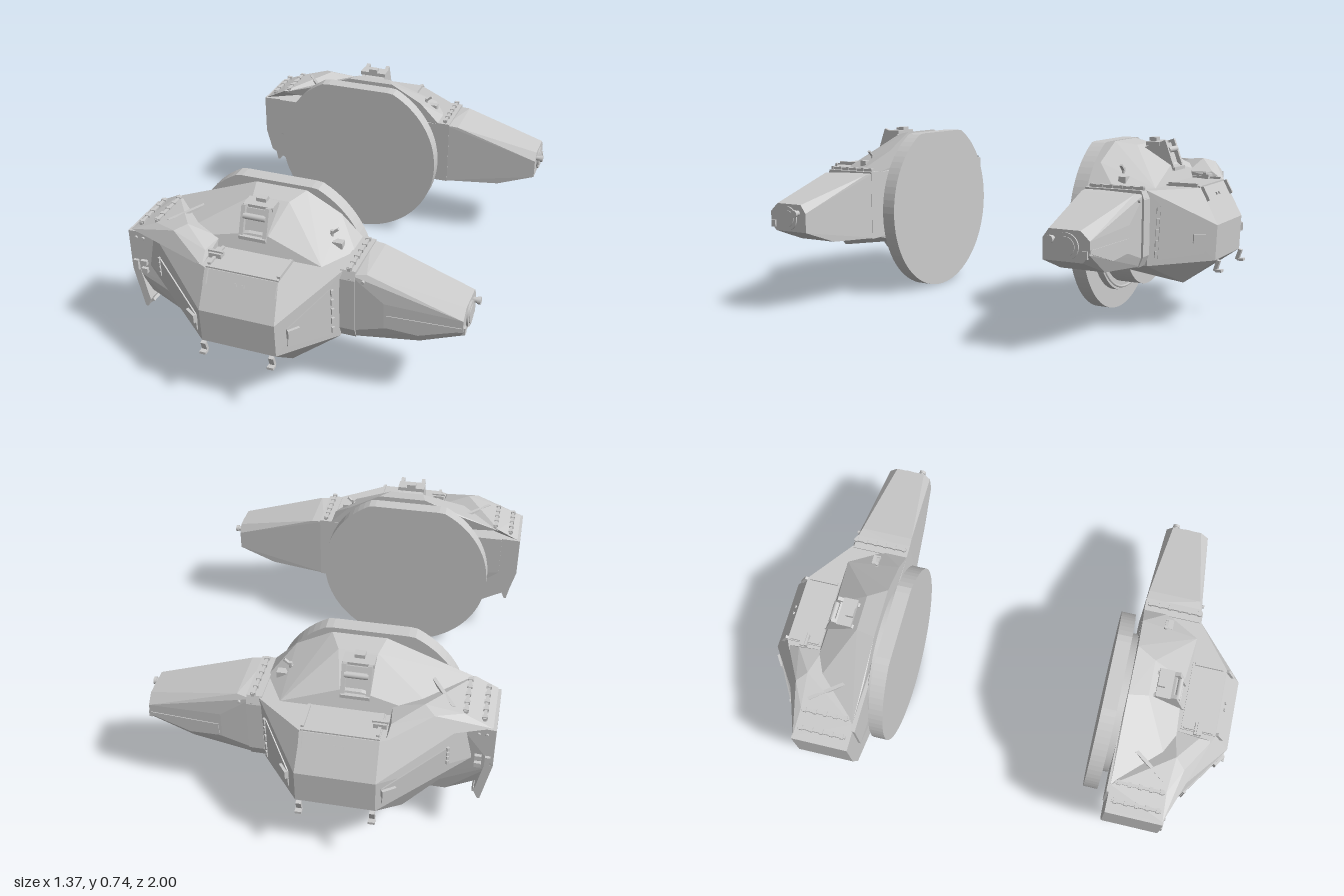
import * as THREE from 'three';
import { ConvexGeometry } from 'three/addons/geometries/ConvexGeometry.js';

const CX = -0.17, CY = 0.38; // mounting disc centre
const material = new THREE.MeshStandardMaterial({ color: 0xcccccc });
const flat = new THREE.MeshStandardMaterial({ color: 0xcccccc, flatShading: true });
const V = (p) => new THREE.Vector3(...p);

// One pod on the +z side, as a list of named meshes
function buildPod() {
  const parts = [];
  const add = (name, geometry, mat = flat) => {
    const mesh = new THREE.Mesh(geometry, mat);
    mesh.name = name;
    parts.push(mesh);
    return mesh;
  };
  const hull = (name, pts) => add(name, new ConvexGeometry(pts.map(V)));
  const box = (name, size, pos, rot = [0, 0, 0]) => {
    const m = add(name, new THREE.BoxGeometry(...size));
    m.position.set(...pos);
    m.rotation.set(...rot);
    return m;
  };
  const rod = (name, r, len, pos, axis = 'z', sides = 16) => {
    const g = new THREE.CylinderGeometry(r, r, len, sides);
    if (axis === 'z') g.rotateX(Math.PI / 2);
    if (axis === 'x') g.rotateZ(Math.PI / 2);
    add(name, g, material).position.set(...pos);
  };
  // Raised plate lying on the plane through three points, outlined in x and y
  const facePlane = (a, b, c) => {
    const plane = new THREE.Plane().setFromCoplanarPoints(V(a), V(b), V(c));
    if (plane.normal.z < 0) plane.negate();
    return plane;
  };
  const onPlane = (pl, x, y) => V([x, y, -(pl.constant + pl.normal.x * x + pl.normal.y * y) / pl.normal.z]);
  const plate = (name, pl, outline, t = 0.005) => {
    const base = outline.map(([x, y]) => onPlane(pl, x, y));
    const top = base.map((p) => p.clone().addScaledVector(pl.normal, t));
    add(name, new ConvexGeometry([...base, ...top]));
  };
  const fixture = (name, pl, x, y, size) => {
    const m = add(name, new THREE.BoxGeometry(...size));
    m.position.copy(onPlane(pl, x, y)).addScaledVector(pl.normal, size[2] / 2);
    m.quaternion.setFromUnitVectors(V([0, 0, 1]), pl.normal);
  };

  // Mounting disc, trimmed along its top, with stepped bearing
  const rim = [];
  for (let i = 0; i < 80; i++) {
    const a = (i / 80) * Math.PI * 2;
    rim.push(new THREE.Vector2(CX + 0.38 * Math.cos(a), Math.min(0.722, CY + 0.38 * Math.sin(a))));
  }
  const disc = new THREE.ExtrudeGeometry(new THREE.Shape(rim), { depth: 0.06, bevelEnabled: false });
  add('mountingDisc', disc, material).position.z = 0.43;
  rod('bearingRing', 0.3, 0.03, [CX, CY, 0.503], 'z', 64);
  rod('bearingDrum', 0.262, 0.13, [CX, CY, 0.555], 'z', 64);
  const groove = new THREE.TorusGeometry(0.285, 0.006, 6, 64);
  add('bearingLip', groove, material).position.set(CX, CY, 0.517);

  // Faceted main body
  hull('mainBody', [
    [0.2, 0.56, 0.52], [0.2, 0.56, 0.76], [0.01, 0.56, 0.905], [-0.28, 0.56, 0.905],
    [-0.57, 0.56, 0.765], [-0.6, 0.56, 0.52], [0.02, 0.42, 0.98], [-0.28, 0.42, 0.98],
    [0.02, 0.28, 0.975], [-0.28, 0.28, 0.975], [0.19, 0.265, 0.76], [0.2, 0.27, 0.52],
    [-0.6, 0.41, 0.765], [-0.6, 0.38, 0.52], [0.03, 0.18, 0.85], [-0.36, 0.18, 0.83],
    [0.05, 0.23, 0.53], [-0.4, 0.22, 0.53],
  ]);

  // Sloped roof over the bearing
  hull('roof', [
    [-0.24, 0.725, 0.52], [-0.03, 0.725, 0.52], [-0.22, 0.71, 0.6], [-0.07, 0.71, 0.6],
    [0.11, 0.65, 0.52], [0.2, 0.56, 0.52], [0.2, 0.56, 0.62], [0.12, 0.56, 0.76],
    [-0.5, 0.56, 0.76], [-0.42, 0.655, 0.52], [-0.58, 0.6, 0.53], [-0.18, 0.63, 0.735], [-0.1, 0.63, 0.735],
  ]);
  hull('rearRoof', [
    [-0.42, 0.635, 0.76], [-0.46, 0.62, 0.8], [-0.31, 0.59, 0.84], [-0.3, 0.555, 0.895],
    [-0.57, 0.555, 0.765], [-0.56, 0.605, 0.75], [-0.67, 0.56, 0.76], [-0.67, 0.56, 0.53],
    [-0.58, 0.605, 0.53], [-0.3, 0.59, 0.74], [-0.3, 0.555, 0.74],
  ]);

  // Rear block with its lower housing and hanging flap
  const rearOutline = [[-0.682, 0.555], [-0.682, 0.38], [-0.655, 0.28], [-0.51, 0.2], [-0.41, 0.2], [-0.36, 0.25], [-0.55, 0.56]];
  hull('rearBlock', rearOutline.flatMap(([x, y]) => [[x, y, 0.53], [x, y, y < 0.3 ? 0.73 : 0.765]]));
  hull('rearFlap', [0.57, 0.765].flatMap((z) => [[-0.682, 0.38, z], [-0.645, 0.205, z], [-0.635, 0.205, z], [-0.62, 0.24, z], [-0.65, 0.38, z]]));
  box('flapFoot', [0.035, 0.012, 0.16], [-0.63, 0.222, 0.67], [0, 0, 0.5]);

  // Tapered gun housing
  hull('gunCollar', [0.19, 0.25].flatMap((x) => [
    [x, 0.268, 0.52], [x, 0.268, 0.75], [x, 0.31, 0.768], [x, 0.53, 0.768], [x, 0.565, 0.755], [x, 0.565, 0.52],
  ]));
  hull('gunHousing', [
    [0.23, 0.27, 0.52], [0.23, 0.27, 0.75], [0.23, 0.3, 0.76], [0.23, 0.55, 0.76], [0.29, 0.555, 0.745], [0.23, 0.56, 0.52], [0.29, 0.555, 0.525],
    [0.36, 0.45, 0.758], [0.36, 0.34, 0.758], [0.49, 0.29, 0.54], [0.49, 0.29, 0.72],
    [0.655, 0.35, 0.55], [0.655, 0.35, 0.71], [0.655, 0.38, 0.737], [0.655, 0.43, 0.737], [0.655, 0.465, 0.7], [0.655, 0.465, 0.575], [0.655, 0.43, 0.55],
  ]);
  const gunSide = facePlane([0.36, 0.45, 0.758], [0.36, 0.34, 0.758], [0.655, 0.4, 0.737]);
  plate('gunSidePanel', gunSide, [[0.37, 0.4], [0.37, 0.345], [0.49, 0.335], [0.65, 0.385], [0.65, 0.398]], 0.003);
  rod('muzzleRing', 0.05, 0.012, [0.656, 0.405, 0.645], 'x', 32);
  rod('muzzleBore', 0.036, 0.014, [0.658, 0.405, 0.645], 'x', 32);
  rod('sightTube', 0.011, 0.03, [0.667, 0.43, 0.59], 'x');
  rod('sightCap', 0.015, 0.012, [0.678, 0.43, 0.59], 'x');
  box('muzzleLatch', [0.012, 0.03, 0.02], [0.656, 0.38, 0.72]);

  // Armour faces that carry doors
  const rightFace = facePlane([0.02, 0.42, 0.98], [0.02, 0.28, 0.975], [0.19, 0.265, 0.76]);
  const leftFace = facePlane([-0.28, 0.42, 0.98], [-0.28, 0.28, 0.975], [-0.6, 0.41, 0.765]);
  const frontFace = facePlane([0.02, 0.56, 0.905], [-0.28, 0.56, 0.905], [0, 0.42, 0.98]);
  plate('sideDoor', rightFace, [[0.05, 0.39], [0.05, 0.31], [0.165, 0.29], [0.165, 0.5]]);
  plate('rearDoor', leftFace, [[-0.51, 0.5], [-0.51, 0.42], [-0.3, 0.315], [-0.3, 0.39]]);
  fixture('sideDoorLatch', rightFace, 0.065, 0.37, [0.05, 0.035, 0.016]);
  fixture('rearDoorLatch', leftFace, -0.32, 0.37, [0.055, 0.035, 0.016]);
  for (let i = 0; i < 5; i++) {
    fixture('sideDoorHinge', rightFace, 0.17, 0.31 + i * 0.043, [0.012, 0.026, 0.009]);
    if (i < 4) fixture('rearDoorHinge', leftFace, -0.515, 0.43 + i * 0.022, [0.01, 0.016, 0.009]);
  }

  // Roof panel, front clips, bolts and feet
  box('roofPanel', [0.29, 0.008, 0.14], [-0.135, 0.562, 0.832]);
  for (const x of [-0.27, 0.005]) {
    fixture('frontClip', frontFace, x, 0.535, [0.012, 0.06, 0.012]);
    box('roofHinge', [0.012, 0.014, 0.12], [x, 0.568, 0.83]);
    box('foot', [0.02, 0.045, 0.014], [x, 0.258, 0.978], [0.3, 0, 0]);
    box('footPad', [0.026, 0.01, 0.024], [x, 0.238, 0.988]);
  }
  for (const x of [-0.15, -0.12]) fixture('frontBolt', frontFace, x, 0.525, [0.01, 0.01, 0.006]);
  for (const x of [0.23, 0.28]) rod('collarBolt', 0.007, 0.01, [x, 0.53, 0.762], 'z', 8);
  for (const x of [-0.65, -0.62]) rod('rearBolt', 0.007, 0.01, [x, 0.53, 0.767], 'z', 8);
  box('roofLatch', [0.05, 0.02, 0.03], [-0.27, 0.575, 0.83]);
  box('roofLatchBar', [0.06, 0.008, 0.012], [-0.27, 0.588, 0.83]);
  for (const y of [0.385, 0.42]) box('rearLatch', [0.026, 0.02, 0.014], [-0.625, y, 0.77]);
  box('rearClamp', [0.02, 0.045, 0.014], [-0.66, 0.405, 0.77]);

  // Periscope with hooded window
  const tilt = [-0.35, 0, 0];
  for (const s of [-1, 1]) box('periscopeCheek', [0.016, 0.115, 0.1], [-0.16 + s * 0.048, 0.66, 0.68], tilt);
  box('periscopeBlock', [0.08, 0.1, 0.08], [-0.16, 0.655, 0.675], tilt);
  box('periscopeHood', [0.12, 0.016, 0.06], [-0.16, 0.715, 0.655]);
  box('periscopeVisor', [0.04, 0.02, 0.03], [-0.16, 0.728, 0.64]);
  box('periscopeSill', [0.11, 0.014, 0.03], [-0.16, 0.615, 0.738]);
  rod('periscopeRoller', 0.012, 0.09, [-0.16, 0.69, 0.715], 'x');

  // Hinge strips on the roof and beside the gun collar
  box('diagonalStrip', [0.21, 0.01, 0.014], [-0.46, 0.622, 0.645], [0, 0.96, 0.1]);
  for (const x of [-0.635, -0.565]) {
    box('rearRail', [0.012, 0.012, 0.2], [x, x < -0.6 ? 0.582 : 0.606, 0.645]);
    for (let i = 0; i < 5; i++) box('rearRailStud', [0.02, 0.014, 0.014], [x, x < -0.6 ? 0.584 : 0.608, 0.56 + i * 0.043]);
  }
  box('collarRail', [0.012, 0.012, 0.23], [0.225, 0.57, 0.645]);
  for (let i = 0; i < 6; i++) box('collarRailStud', [0.02, 0.012, 0.012], [0.225, 0.573, 0.54 + i * 0.042]);
  box('roofCatch', [0.04, 0.025, 0.03], [0.14, 0.59, 0.635]);
  box('roofCatchLever', [0.04, 0.008, 0.012], [0.12, 0.632, 0.62], [0, 0, 0.7]);
  rod('roofCatchPost', 0.007, 0.06, [0.11, 0.605, 0.62], 'y', 8);
  return parts;
}

// Mirrored copy across z with corrected winding
function mirrorZ(mesh) {
  mesh.updateMatrix();
  let g = mesh.geometry.clone().applyMatrix4(mesh.matrix);
  if (g.index) g = g.toNonIndexed();
  for (const key of ['position', 'normal']) {
    const a = g.attributes[key];
    for (let i = 0; i < a.count; i++) a.setZ(i, -a.getZ(i));
    for (let i = 0; i < a.count; i += 3) {
      const p = [a.getX(i), a.getY(i), a.getZ(i)];
      a.setXYZ(i, a.getX(i + 1), a.getY(i + 1), a.getZ(i + 1));
      a.setXYZ(i + 1, ...p);
    }
  }
  const copy = new THREE.Mesh(g, mesh.material);
  copy.name = mesh.name;
  return copy;
}

export function createModel() {
  const model = new THREE.Group();
  model.name = 'sidePods';
  const front = new THREE.Group(), back = new THREE.Group();
  front.name = 'frontPod';
  back.name = 'backPod';
  for (const part of buildPod()) {
    front.add(part);
    back.add(mirrorZ(part));
  }
  model.add(front, back);
  return model;
}
